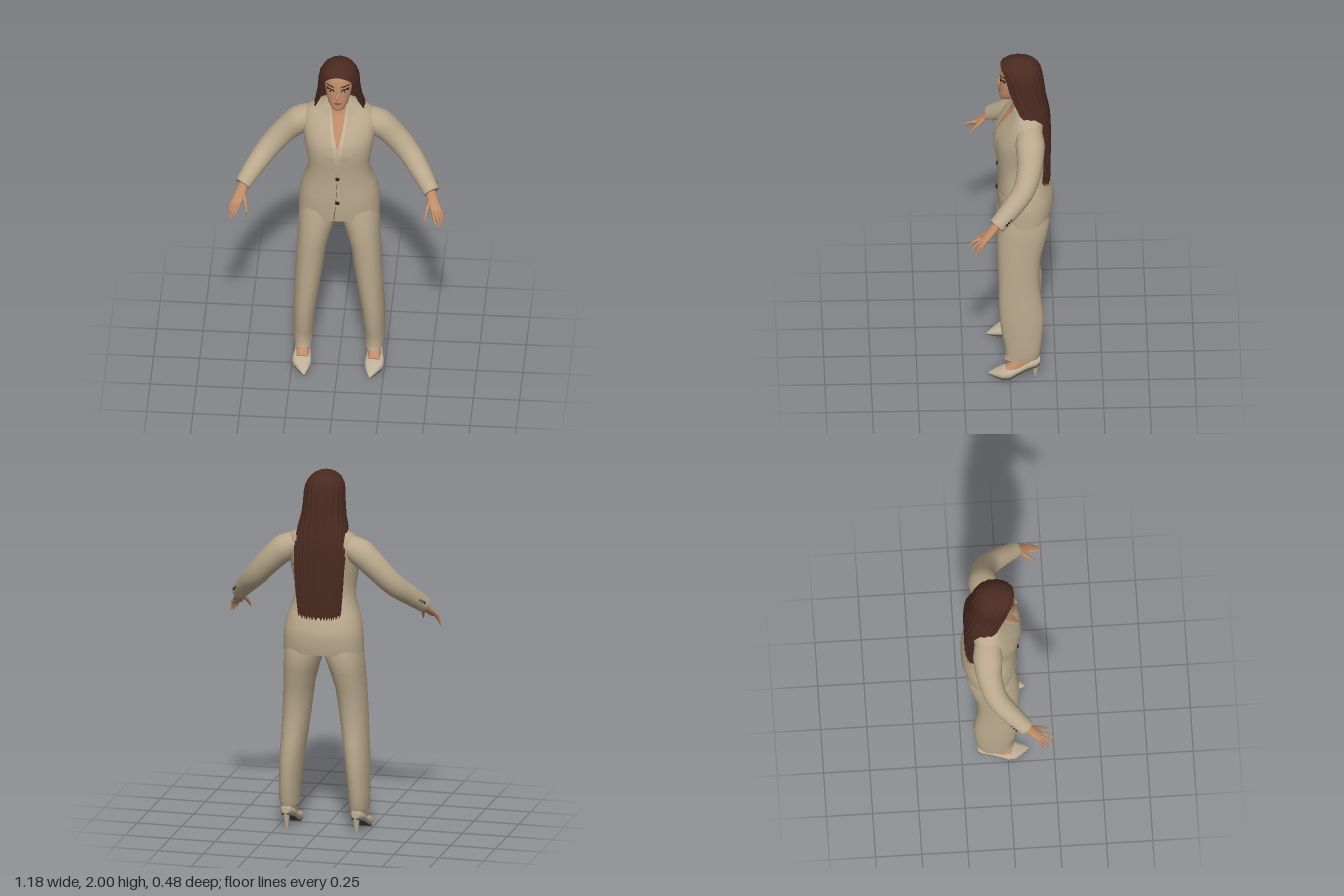
import * as THREE from 'three';

const mat = (name, color, side = THREE.FrontSide) => {
  const m = new THREE.MeshStandardMaterial({ color, side });
  m.name = name;
  return m;
};
const V = (x, y, z) => new THREE.Vector3(x, y, z);

// Skin a list of rings (each a list of Vector3); caps close the ends with a sharp edge.
function skin(rings, closed = true, caps = true) {
  const pos = [], idx = [], n = rings[0].length;
  const band = (list) => {
    const base = pos.length / 3;
    list.forEach((r) => r.forEach((p) => pos.push(p.x, p.y, p.z)));
    for (let i = 0; i < list.length - 1; i++) {
      for (let j = 0; j < (closed ? n : n - 1); j++) {
        const k = (j + 1) % n;
        const a = base + i * n + j, b = base + i * n + k, d = a + n, c = b + n;
        idx.push(a, b, c, a, c, d);
      }
    }
  };
  const point = (r) => {
    const c = V(0, 0, 0);
    r.forEach((p) => c.add(p));
    c.divideScalar(n);
    return r.map(() => c);
  };
  band(rings);
  if (closed && caps) {
    const last = rings[rings.length - 1];
    band([point(rings[0]), rings[0]]);
    band([last, point(last)]);
  }
  const g = new THREE.BufferGeometry();
  g.setAttribute('position', new THREE.Float32BufferAttribute(pos, 3));
  g.setIndex(idx);
  g.computeVertexNormals();
  return g;
}

// Horizontal cross-sections: rows are [y, centreX, halfWidth, zFront, zBack].
const spow = (v, e) => Math.sign(v) * Math.abs(v) ** e;
function section([y, cx, rx, zf, zb], t, n) {
  return V(cx + rx * spow(Math.sin(t), 2 / n), y, (zf + zb) / 2 + ((zf - zb) / 2) * spow(Math.cos(t), 2 / n));
}
const loft = (rows, n = 2.2, seg = 40) =>
  skin(rows.map((r) => Array.from({ length: seg }, (_, j) => section(r, (j / seg) * Math.PI * 2, n))));

// Front depth of a lofted body at (x, y).
function frontZ(rows, x, y, n) {
  let i = 0;
  while (i < rows.length - 2 && rows[i + 1][0] < y) i++;
  const k = THREE.MathUtils.clamp((y - rows[i][0]) / (rows[i + 1][0] - rows[i][0]), 0, 1);
  const [, , rx, zf, zb] = rows[i].map((v, q) => v + (rows[i + 1][q] - v) * k);
  const u = Math.min(1, Math.abs(x) / rx);
  return (zf + zb) / 2 + ((zf - zb) / 2) * (1 - u ** n) ** (1 / n);
}

// Thin plate lying on the front of a body: edge rows are [y, x0, x1].
function plate(body, n, edges, off) {
  const rings = [];
  for (let i = 0; i < edges.length - 1; i++) {
    for (let s = 0; s < 5 + (i === edges.length - 2 ? 1 : 0); s++) {
      const [y, a, b] = edges[i].map((v, q) => v + ((edges[i + 1][q] - v) * s) / 5);
      rings.push(Array.from({ length: 9 }, (_, j) => {
        const x = a + ((b - a) * j) / 8;
        return V(x, y, frontZ(body, x, y, n) + off);
      }));
    }
  }
  return skin(rings, false);
}

// Swept limb: points are [x, y, z, radiusAlongRef, radiusAcross].
function limb(pts, ref = V(0, 0, 1), steps = 16, seg = 18) {
  const curve = new THREE.CatmullRomCurve3(pts.map((p) => V(p[0], p[1], p[2])));
  const rings = [];
  for (let i = 0; i <= steps; i++) {
    const t = i / steps, f = t * (pts.length - 1), k = Math.min(pts.length - 2, Math.floor(f));
    const r = (q) => pts[k][q] + (pts[k + 1][q] - pts[k][q]) * (f - k);
    const c = curve.getPoint(t), T = curve.getTangent(t);
    const N = ref.clone().addScaledVector(T, -T.dot(ref)).normalize(), B = T.clone().cross(N);
    rings.push(Array.from({ length: seg }, (_, j) => {
      const a = (j / seg) * Math.PI * 2;
      return c.clone().addScaledVector(N, r(3) * Math.cos(a)).addScaledVector(B, r(4) * Math.sin(a));
    }));
  }
  return skin(rings);
}

const ball = (r, x, y, z, sx = 1, sy = 1, sz = 1) =>
  new THREE.SphereGeometry(r, 14, 10).scale(sx, sy, sz).translate(x, y, z);

function mirrored(g) {
  const m = g.clone().scale(-1, 1, 1), a = m.index.array;
  for (let i = 0; i < a.length; i += 3) [a[i], a[i + 1]] = [a[i + 1], a[i]];
  m.computeVertexNormals();
  return m;
}

export function createModel() {
  const model = new THREE.Group();
  model.name = 'womanInSuit';
  const D = THREE.DoubleSide;
  const suit = mat('suitBeige', 0xb9a88c, D), blouse = mat('blouseBeige', 0xc2b297, D);
  const skinTone = mat('skin', 0xbf8c69, D), hairBrown = mat('hairBrown', 0x4a2a20, D);
  const dark = mat('darkDetail', 0x2b2220, D), lips = mat('lips', 0x965a4a, D);
  const shoeMat = mat('shoeBeige', 0xbdb09a), soleMat = mat('soleDark', 0x4a443d, D);
  const eyeWhite = mat('eyeWhite', 0xc9c0b6, D);

  const add = (name, geo, material) => {
    const m = new THREE.Mesh(geo, material);
    m.name = name;
    model.add(m);
  };
  const pair = (name, geo, material) => {
    add('left' + name, geo, material);
    add('right' + name, mirrored(geo), material);
  };

  // Jacket body
  const body = [
    [1.005, 0, 0.22, 0.055, -0.228], [1.08, 0, 0.218, 0.062, -0.243], [1.15, 0, 0.212, 0.062, -0.235],
    [1.22, 0, 0.194, 0.06, -0.205], [1.3, 0, 0.166, 0.06, -0.175], [1.38, 0, 0.17, 0.07, -0.175],
    [1.46, 0, 0.185, 0.077, -0.19], [1.52, 0, 0.193, 0.066, -0.2], [1.58, 0, 0.2, 0.035, -0.205],
    [1.63, 0, 0.197, 0.002, -0.2], [1.66, 0, 0.172, -0.018, -0.19], [1.69, 0, 0.12, -0.028, -0.178],
    [1.72, 0, 0.068, -0.032, -0.15],
  ];
  const nb = 2.3;
  add('jacketBody', loft(body, nb), suit);
  add('neckline', plate(body, nb, [[1.5, -0.003, 0.003], [1.6, -0.028, 0.028], [1.715, -0.045, 0.045]], 0.003), skinTone);
  pair('BlouseEdge', plate(body, nb, [[1.4, 0, 0.012], [1.5, 0.002, 0.035], [1.6, 0.026, 0.05], [1.715, 0.042, 0.058]], 0.005), blouse);
  pair('Lapel', plate(body, nb, [[1.31, 0, 0.005], [1.4, 0.012, 0.055], [1.5, 0.028, 0.085], [1.605, 0.042, 0.115],
    [1.612, 0.043, 0.08], [1.625, 0.044, 0.1], [1.715, 0.052, 0.066]], 0.009), suit);
  pair('PocketFlap', plate(body, nb, [[1.145, 0.11, 0.175], [1.155, 0.1, 0.185], [1.18, 0.095, 0.185]], 0.007), suit);
  add('frontSeam', plate(body, nb, [[1.015, -0.022, -0.018], [1.1, -0.012, -0.01], [1.29, -0.002, 0]], 0.003), soleMat);
  for (const y of [1.295, 1.135]) add('jacketButton', ball(0.012, 0, y, frontZ(body, 0, y, nb) + 0.004, 1, 1, 0.5), dark);

  // Sleeves with cuff buttons
  pair('Sleeve', limb([
    [0.14, 1.605, -0.105, 0.07, 0.06], [0.215, 1.565, -0.11, 0.08, 0.076], [0.3, 1.485, -0.105, 0.068, 0.068],
    [0.385, 1.39, -0.07, 0.06, 0.062], [0.455, 1.315, 0.005, 0.054, 0.054], [0.512, 1.25, 0.08, 0.046, 0.045],
  ], V(0, 0, 1), 24, 24), suit);
  for (let i = 0; i < 3; i++) {
    const k = i * 0.016;
    pair('CuffButton', ball(0.007, 0.532 - k * 0.6, 1.272 + k * 0.6, 0.026 - k * 0.75), dark);
  }

  // Hands
  const across = V(0.96, 0, -0.29);
  pair('Palm', limb([[0.5, 1.262, 0.07, 0.026, 0.024], [0.527, 1.205, 0.122, 0.03, 0.017], [0.545, 1.172, 0.158, 0.03, 0.011]], across), skinTone);
  [[0.545, 1.143, 0.235], [0.567, 1.118, 0.222], [0.58, 1.104, 0.193], [0.585, 1.115, 0.168]].forEach((tip, i) => {
    const b = V(0.543, 1.178, 0.152).addScaledVector(across, -0.022 + i * 0.0147), t = V(...tip);
    const mid = b.clone().lerp(t, 0.5).add(V(0, 0.006, 0.004));
    pair('Finger', limb([[...b, 0.01, 0.01], [...mid, 0.008, 0.008], [...t, 0.003, 0.003]], across, 6, 8), skinTone);
  });
  pair('Thumb', limb([[0.512, 1.225, 0.105, 0.014, 0.014], [0.491, 1.18, 0.155, 0.01, 0.01], [0.482, 1.138, 0.195, 0.004, 0.004]], across, 6, 8), skinTone);

  // Trousers
  pair('TrouserLeg', loft([
    [0.125, 0.193, 0.05, 0.032, -0.155], [0.16, 0.194, 0.053, 0.02, -0.165], [0.22, 0.193, 0.055, 0.03, -0.172],
    [0.3, 0.188, 0.059, 0.046, -0.18], [0.4, 0.182, 0.064, 0.055, -0.185], [0.5, 0.172, 0.068, 0.06, -0.172],
    [0.6, 0.163, 0.073, 0.06, -0.16], [0.7, 0.154, 0.077, 0.063, -0.162], [0.8, 0.145, 0.082, 0.065, -0.175],
    [0.9, 0.128, 0.093, 0.066, -0.203], [1.0, 0.11, 0.107, 0.055, -0.22], [1.06, 0.1, 0.1, 0.045, -0.2],
  ], 2.2, 32), suit);

  // Feet and heeled shoes: rows are [z, centreX, halfWidth, bottom, top]
  pair('Foot', limb([[0.193, 0.2, -0.1, 0.034, 0.03], [0.193, 0.13, -0.1, 0.036, 0.03], [0.194, 0.085, -0.06, 0.04, 0.034],
    [0.194, 0.045, 0.01, 0.026, 0.036]], V(0, 0.4, 1), 14), skinTone);
  const shoe = [
    [-0.163, 0.195, 0.018, 0.088, 0.122], [-0.145, 0.195, 0.034, 0.076, 0.128], [-0.09, 0.195, 0.039, 0.058, 0.105],
    [-0.04, 0.196, 0.043, 0.03, 0.075], [0, 0.197, 0.052, 0.006, 0.066], [0.04, 0.195, 0.05, 0.003, 0.053],
    [0.08, 0.186, 0.028, 0.003, 0.034], [0.114, 0.178, 0.005, 0.003, 0.013],
  ];
  pair('Shoe', skin(shoe.map(([z, cx, w, b, t]) => Array.from({ length: 20 }, (_, j) => {
    const a = (j / 20) * Math.PI * 2;
    return V(cx + w * spow(Math.cos(a), 0.8), (b + t) / 2 + ((t - b) / 2) * spow(Math.sin(a), 0.8), z);
  }))), shoeMat);
  pair('Sole', skin(shoe.map(([z, cx, w, b]) => [V(cx - w * 0.85, b - 0.002, z), V(cx + w * 0.85, b - 0.002, z)]), false), soleMat);
  pair('Heel', new THREE.CylinderGeometry(0.022, 0.008, 0.095, 12).translate(0.195, 0.0475, -0.138), shoeMat);

  // Neck and head
  add('neck', limb([[0, 1.66, -0.085, 0.058, 0.062], [0, 1.72, -0.075, 0.046, 0.048], [0, 1.79, -0.045, 0.048, 0.046]]), skinTone);
  const head = [
    [1.738, 0, 0.018, 0.042, 0.0], [1.75, 0, 0.035, 0.051, -0.03], [1.775, 0, 0.052, 0.052, -0.06],
    [1.81, 0, 0.065, 0.051, -0.1], [1.85, 0, 0.072, 0.049, -0.12], [1.89, 0, 0.075, 0.048, -0.135],
    [1.925, 0, 0.074, 0.045, -0.14], [1.96, 0, 0.06, 0.028, -0.125], [1.982, 0, 0.035, 0, -0.1],
  ];
  add('head', loft(head, 2.2), skinTone);
  add('nose', limb([[0, 1.885, 0.043, 0.006, 0.006], [0, 1.855, 0.05, 0.009, 0.008], [0, 1.832, 0.056, 0.011, 0.013], [0, 1.822, 0.05, 0.006, 0.01]], V(0, 0.2, 1), 10, 12), skinTone);
  const face = (edges, off) => plate(head, 2.2, edges, off);
  pair('Lashes', face([[1.866, 0.03, 0.044], [1.873, 0.017, 0.058], [1.887, 0.022, 0.061]], 0.002), dark);
  pair('EyeWhite', face([[1.868, 0.033, 0.043], [1.874, 0.023, 0.053], [1.88, 0.03, 0.046]], 0.004), eyeWhite);
  pair('Iris', face([[1.869, 0.035, 0.041], [1.875, 0.032, 0.044], [1.88, 0.034, 0.042]], 0.006), dark);
  pair('Brow', face([[1.899, 0.016, 0.05], [1.903, 0.018, 0.062], [1.908, 0.03, 0.058]], 0.002), hairBrown);
  add('mouth', face([[1.787, -0.01, 0.01], [1.796, -0.024, 0.024], [1.804, -0.008, 0.008]], 0.003), lips);

  // Long hair: open-fronted sections [y, 0, halfWidth, zFront, zBack, half sweep as a fraction of pi]
  const hair = [
    [1.21, 0, 0.118, -0.13, -0.222, 0.5], [1.35, 0, 0.13, -0.145, -0.224, 0.5], [1.5, 0, 0.139, -0.145, -0.226, 0.52],
    [1.6, 0, 0.142, -0.09, -0.224, 0.54], [1.66, 0, 0.139, -0.03, -0.216, 0.58], [1.7, 0, 0.134, 0.0, -0.208, 0.62],
    [1.76, 0, 0.122, 0.02, -0.198, 0.68], [1.83, 0, 0.113, 0.035, -0.19, 0.73], [1.89, 0, 0.11, 0.045, -0.182, 0.75],
    [1.925, 0, 0.104, 0.05, -0.174, 0.78], [1.95, 0, 0.092, 0.05, -0.163, 0.86], [1.962, 0, 0.085, 0.045, -0.155, 1],
    [1.98, 0, 0.065, 0.025, -0.135, 1], [1.992, 0, 0.042, 0, -0.11, 1], [1.998, 0, 0.02, -0.025, -0.08, 1], [2, 0, 0.001, -0.05, -0.052, 1],
  ];
  const strands = 80;
  add('hair', skin(hair.map((row, i) => Array.from({ length: strands + 1 }, (_, j) => {
    const u = (j / strands) * 2 - 1, p = section(row, Math.PI * (1 + u * row[5]), i < 6 ? 2.6 : 2.15);
    const ridge = 1 + 0.018 * Math.sin(j * 1.15) * Math.min(1, (15 - i) / 6);
    p.x *= ridge;
    p.z = -0.05 + (p.z + 0.05) * (i < 6 ? 1 + (ridge - 1) * 0.6 : ridge);
    if (i === 0) p.y += 0.012 * Math.sin(j * 1.9) + 0.02 * u * u;
    return p;
  })), false), hairBrown);

  return model;
}
